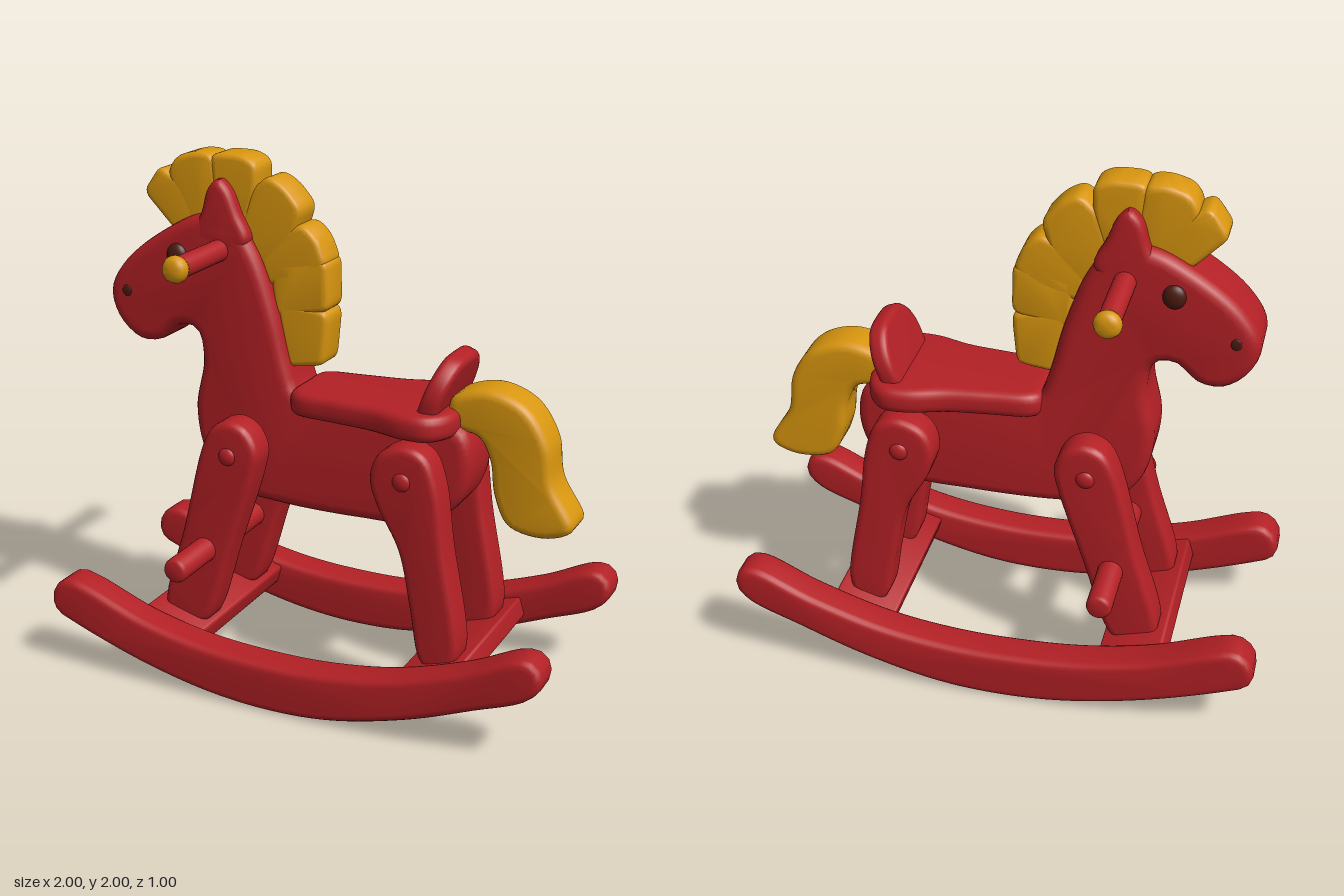
import * as THREE from 'three';
import { toCreasedNormals } from 'three/addons/utils/BufferGeometryUtils.js';

const paint = (name, color) => {
  const m = new THREE.MeshStandardMaterial({ color });
  m.name = name;
  return m;
};

// Smooth closed outline through a few points
function smoothShape(pts, n = 90, tension = 0.5) {
  const curve = new THREE.CatmullRomCurve3(
    pts.map(([x, y]) => new THREE.Vector3(x, y, 0)), true, 'centripetal', tension);
  const out = curve.getSpacedPoints(n).slice(0, -1);
  return new THREE.Shape(out.map((p) => new THREE.Vector2(p.x, p.y)));
}

// Polygon with rounded corners
function roundedShape(pts, r) {
  const v = pts.map(([x, y]) => new THREE.Vector2(x, y));
  const shape = new THREE.Shape();
  v.forEach((p, i) => {
    const a = v[(i + v.length - 1) % v.length], b = v[(i + 1) % v.length];
    const toward = (q) => p.clone().lerp(q, Math.min(0.45, r / p.distanceTo(q)));
    const s = toward(a), e = toward(b);
    if (i === 0) shape.moveTo(s.x, s.y); else shape.lineTo(s.x, s.y);
    shape.quadraticCurveTo(p.x, p.y, e.x, e.y);
  });
  shape.closePath();
  return shape;
}

// Board with softened edges, centred on its own mid plane
function slabGeometry(shape, thickness, bevel) {
  const g = new THREE.ExtrudeGeometry(shape, {
    depth: thickness - 2 * bevel, bevelEnabled: true, bevelSize: bevel,
    bevelThickness: bevel, bevelOffset: -bevel, bevelSegments: 4, curveSegments: 5,
  });
  g.translate(0, 0, -(thickness - 2 * bevel) / 2);
  return toCreasedNormals(g, 0.7);
}

// Round rod along z with softened ends
function rodGeometry(r, length, edge = 0.015) {
  const h = length / 2;
  const profile = [[0, -h], [r - edge, -h], [r - edge * 0.3, -h + edge * 0.3], [r, -h + edge],
    [r, h - edge], [r - edge * 0.3, h - edge * 0.3], [r - edge, h], [0, h]];
  const g = new THREE.LatheGeometry(profile.map(([x, y]) => new THREE.Vector2(x, y)), 24);
  g.rotateX(Math.PI / 2);
  return toCreasedNormals(g, 0.8);
}

export function createModel() {
  const red = paint('red paint', 0xb32025);
  const gold = paint('golden yellow paint', 0xd9960f);
  const brown = paint('dark brown paint', 0x4a1a10);

  const model = new THREE.Group();
  model.name = 'rockingHorse';
  const add = (name, geometry, material, x = 0, y = 0, z = 0) => {
    const mesh = new THREE.Mesh(geometry, material);
    mesh.name = name;
    mesh.position.set(x, y, z);
    model.add(mesh);
    return mesh;
  };

  // Body, neck and head in one thick board
  add('body', slabGeometry(smoothShape([
    [-0.5, 1.775], [-0.66, 1.7], [-0.83, 1.57], [-0.9, 1.45], [-0.87, 1.34], [-0.78, 1.265],
    [-0.69, 1.27], [-0.6, 1.34], [-0.53, 1.33], [-0.505, 1.22], [-0.54, 1.02], [-0.5, 0.83],
    [-0.39, 0.715], [-0.2, 0.685], [0.15, 0.68], [0.4, 0.7], [0.54, 0.8], [0.59, 0.95],
    [0.56, 1.08], [0.45, 1.12], [0.1, 1.12], [-0.1, 1.13], [-0.14, 1.22], [-0.2, 1.45],
    [-0.28, 1.66], [-0.37, 1.77],
  ], 140), 0.25, 0.045), red);

  // Ears
  add('ears', slabGeometry(smoothShape([
    [-0.52, 1.7], [-0.49, 1.79], [-0.46, 1.88], [-0.42, 1.912], [-0.38, 1.88],
    [-0.34, 1.79], [-0.3, 1.69], [-0.4, 1.63],
  ], 40), 0.25, 0.028), red);

  // Mane: a row of overlapping tufts
  [
    [[-0.765, 1.83], [-0.69, 1.935], [-0.58, 1.87], [-0.52, 1.75], [-0.63, 1.69]],
    [[-0.66, 1.91], [-0.62, 1.975], [-0.53, 2.0], [-0.46, 1.99], [-0.42, 1.72], [-0.56, 1.71]],
    [[-0.475, 1.985], [-0.44, 2.0], [-0.34, 2.0], [-0.28, 1.97], [-0.285, 1.86], [-0.34, 1.68], [-0.46, 1.7]],
    [[-0.31, 1.87], [-0.24, 1.935], [-0.17, 1.9], [-0.1, 1.82], [-0.14, 1.7], [-0.26, 1.58], [-0.37, 1.7]],
    [[-0.19, 1.73], [-0.1, 1.77], [-0.04, 1.72], [0, 1.62], [-0.1, 1.56], [-0.24, 1.52], [-0.28, 1.62]],
    [[-0.23, 1.61], [-0.08, 1.64], [0, 1.64], [0.003, 1.46], [-0.03, 1.44], [-0.22, 1.41]],
    [[-0.21, 1.47], [-0.02, 1.455], [0.003, 1.43], [-0.015, 1.25], [-0.05, 1.235], [-0.17, 1.22]],
  ].forEach((pts, i) => add(`maneTuft${i + 1}`, slabGeometry(roundedShape(pts, 0.035), 0.145, 0.022), gold));

  // Tail
  add('tail', slabGeometry(smoothShape([
    [0.49, 1.19], [0.56, 1.23], [0.66, 1.24], [0.78, 1.19], [0.86, 1.07], [0.885, 0.92],
    [0.965, 0.775], [0.95, 0.745], [0.85, 0.712], [0.72, 0.74], [0.665, 0.85], [0.645, 0.98],
    [0.6, 1.06], [0.5, 1.09],
  ]), 0.175, 0.032), gold);

  // Seat, outlined from above
  const half = [[-0.125, 0.12], [-0.09, 0.155], [0.06, 0.175], [0.22, 0.195], [0.36, 0.235],
    [0.46, 0.23], [0.52, 0.16]];
  const seat = slabGeometry(smoothShape([
    ...half, [0.54, 0], ...half.map(([x, z]) => [x, -z]).reverse(), [-0.13, 0],
  ]), 0.1, 0.035);
  seat.rotateX(-Math.PI / 2);
  add('seat', seat, red, 0, 1.11, 0);

  // Leaning seat back
  const back = slabGeometry(smoothShape([
    [-0.15, -0.03], [-0.185, 0.07], [-0.165, 0.16], [-0.1, 0.225], [0, 0.238],
    [0.1, 0.225], [0.165, 0.16], [0.185, 0.07], [0.15, -0.03],
  ], 60), 0.075, 0.025);
  back.rotateY(Math.PI / 2);
  add('seatBack', back, red, 0.425, 1.125, 0).rotation.z = -0.36;

  // Parts that come in mirrored pairs
  const frontLeg = slabGeometry(smoothShape([
    [-0.61, 0.25], [-0.52, 0.59], [-0.425, 0.945], [-0.38, 1.015], [-0.31, 1.04], [-0.24, 1.01],
    [-0.2, 0.93], [-0.215, 0.84], [-0.32, 0.52], [-0.41, 0.24], [-0.44, 0.2], [-0.58, 0.2],
  ]), 0.135, 0.028);
  const rearLeg = slabGeometry(smoothShape([
    [0.455, 0.24], [0.42, 0.42], [0.37, 0.65], [0.28, 0.82], [0.255, 0.92], [0.29, 1.01],
    [0.39, 1.05], [0.47, 1.02], [0.515, 0.92], [0.55, 0.68], [0.61, 0.28], [0.58, 0.22], [0.49, 0.2],
  ]), 0.135, 0.028);
  const rocker = slabGeometry(smoothShape([
    [-1, 0.27], [-0.98, 0.225], [-0.92, 0.195], [-0.6, 0.085], [-0.3, 0.02], [-0.05, 0.002],
    [0.2, 0.02], [0.5, 0.095], [0.75, 0.19], [0.95, 0.275], [1, 0.34], [0.98, 0.41],
    [0.92, 0.425], [0.7, 0.33], [0.42, 0.24], [0.15, 0.2], [-0.1, 0.195], [-0.35, 0.213],
    [-0.6, 0.265], [-0.86, 0.36], [-0.93, 0.37], [-0.985, 0.33],
  ], 110), 0.145, 0.028);
  const ball = new THREE.SphereGeometry(1, 24, 16);

  for (const [side, s] of [['left', 1], ['right', -1]]) {
    // "left" lies on +z here, because the horse's nose points along -x
    add(`${side}FrontLeg`, frontLeg, red, 0, 0, 0.2 * s);
    add(`${side}RearLeg`, rearLeg, red, 0, 0, 0.2 * s);
    add(`${side}Rocker`, rocker, red, 0, 0, 0.406 * s);
    add(`${side}FrontBolt`, ball, red, -0.32, 0.905, 0.262 * s).scale.set(0.036, 0.036, 0.02);
    add(`${side}RearBolt`, ball, red, 0.385, 0.92, 0.262 * s).scale.set(0.036, 0.036, 0.02);
    add(`${side}HandleCap`, rodGeometry(0.05, 0.06, 0.025), gold, -0.415, 1.65, 0.432 * s);
    add(`${side}Eye`, ball, brown, -0.59, 1.615, 0.124 * s).scale.set(0.042, 0.046, 0.025);
    add(`${side}Nostril`, ball, brown, -0.815, 1.455, 0.124 * s).scale.set(0.02, 0.023, 0.006);
  }

  // Handle and foot rest run straight through
  add('handle', rodGeometry(0.041, 0.84), red, -0.415, 1.65, 0);
  add('footRest', rodGeometry(0.048, 0.995), red, -0.425, 0.512, 0);

  // Tilted planks joining the rockers under the feet
  for (const [name, s] of [['front', -1], ['rear', 1]]) {
    const plank = slabGeometry(roundedShape(
      [[-0.125, -0.04], [0.125, -0.04], [0.125, 0.04], [-0.125, 0.04]], 0.012), 0.7, 0.008);
    add(`${name}Plank`, plank, red, 0.535 * s, 0.197, 0).rotation.z = 0.29 * s;
  }
  return model;
}
